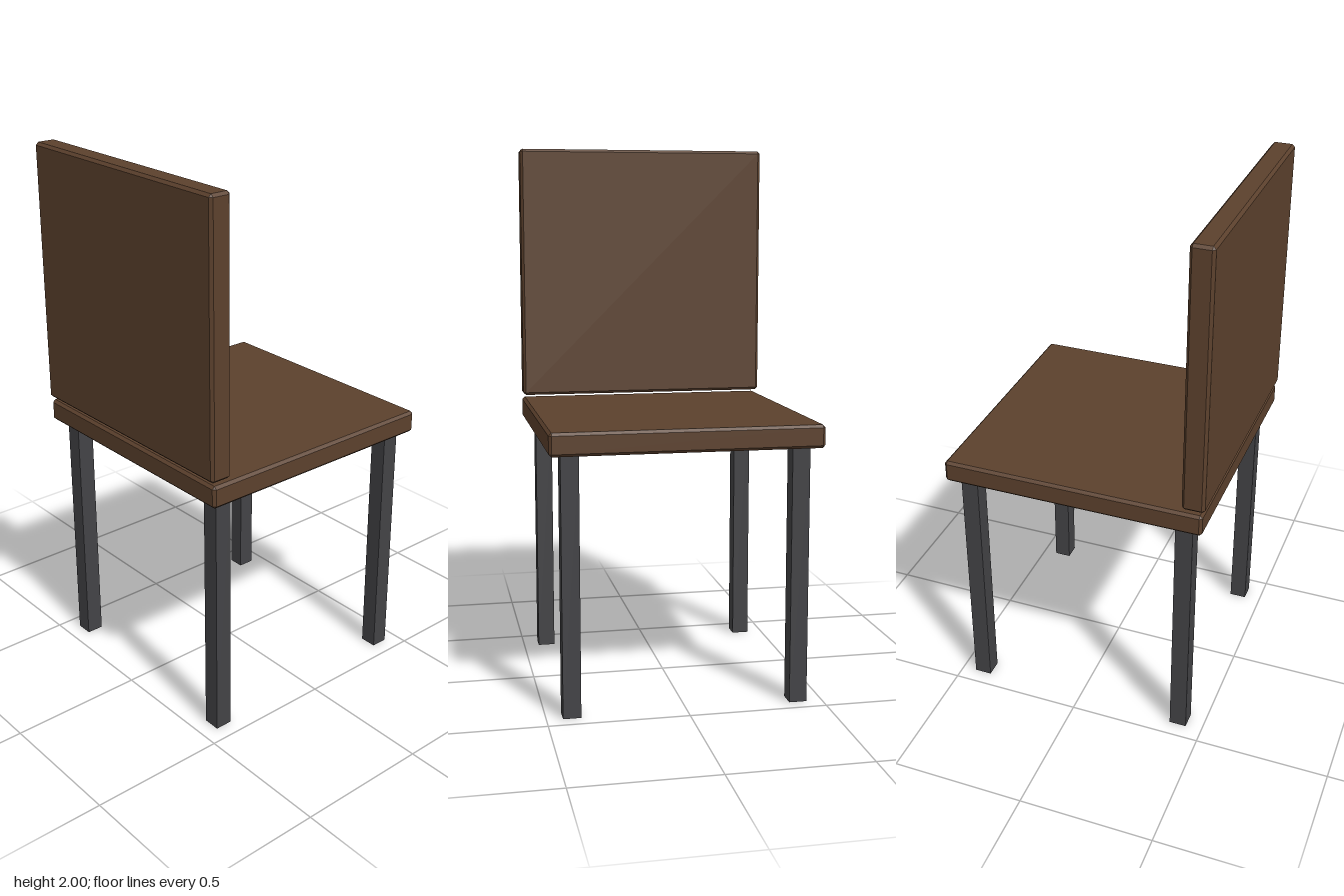
import * as THREE from 'three';
import { ConvexGeometry } from 'three/addons/geometries/ConvexGeometry.js';

// Box with every edge chamfered by b
function chamferedBox(w, h, d, b) {
  const points = [];
  for (const sx of [-1, 1]) for (const sy of [-1, 1]) for (const sz of [-1, 1]) {
    for (let axis = 0; axis < 3; axis++) {
      const inset = [b, b, b];
      inset[axis] = 0;
      points.push(new THREE.Vector3(
        sx * (w / 2 - inset[0]), sy * (h / 2 - inset[1]), sz * (d / 2 - inset[2])));
    }
  }
  return new ConvexGeometry(points);
}

export function createModel() {
  const wood = new THREE.MeshStandardMaterial({ color: 0x5c412d });
  wood.name = 'darkWood';
  const metal = new THREE.MeshStandardMaterial({ color: 0x434346 });
  metal.name = 'darkMetal';

  const chair = new THREE.Group();
  chair.name = 'chair';
  const add = (name, geometry, material, x, y, z) => {
    const mesh = new THREE.Mesh(geometry, material);
    mesh.name = name;
    mesh.position.set(x, y, z);
    chair.add(mesh);
  };

  // Seat slab and the upright panel floating just above its +z edge
  add('seat', chamferedBox(0.97, 0.083, 0.97, 0.01), wood, 0, 0.975, -0.004);
  add('backrest', chamferedBox(0.97, 0.97, 0.083, 0.01), wood, 0, 1.515, 0.447);

  // Four square legs
  const legHeight = 0.935;
  const leg = new THREE.BoxGeometry(0.064, legHeight, 0.064);
  for (const [side, x] of [['left', 0.41], ['right', -0.41]]) {
    for (const [end, z] of [['Front', 0.406], ['Back', -0.414]]) {
      add(side + end + 'Leg', leg, metal, x, legHeight / 2, z);
    }
  }
  return chair;
}
